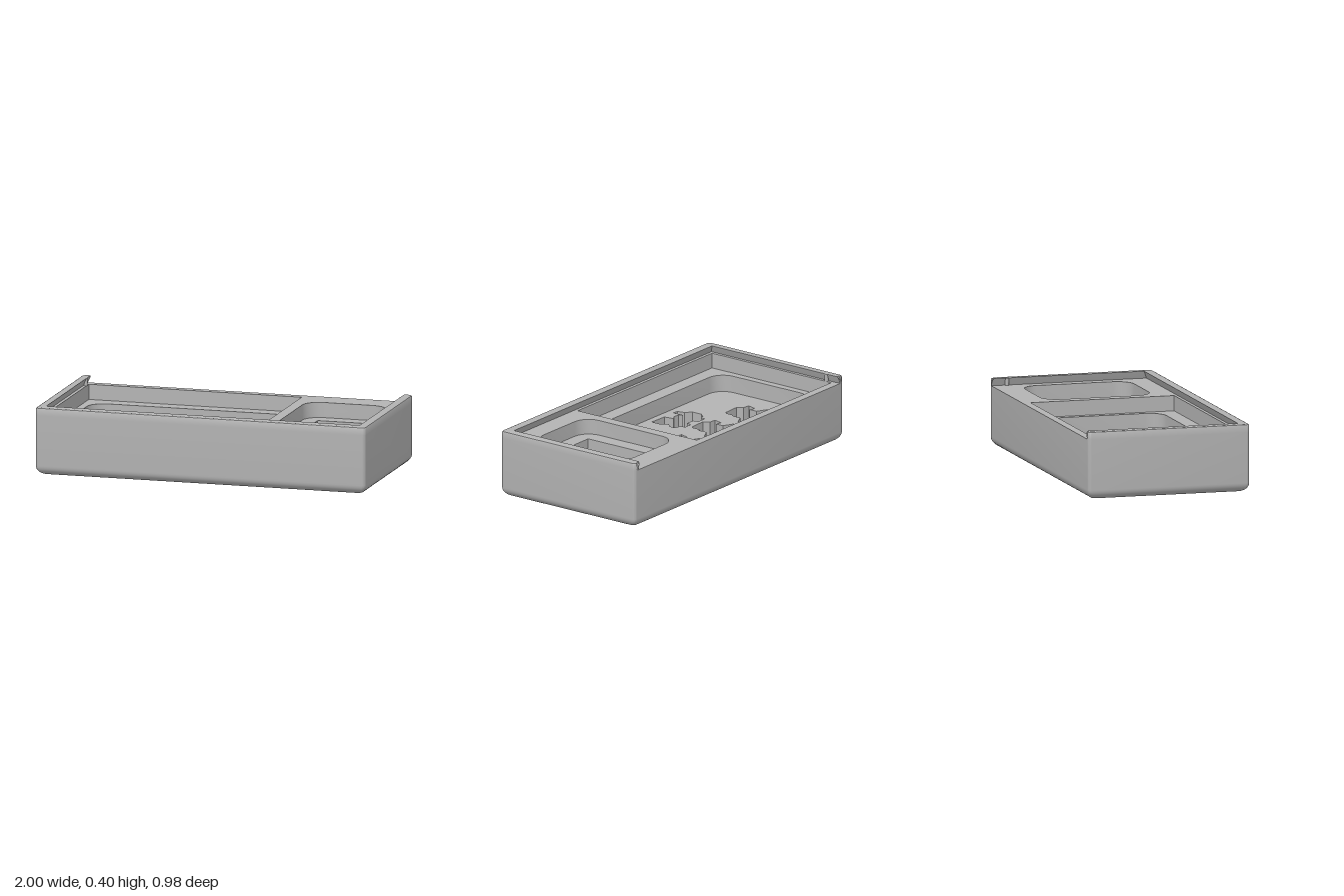
import * as THREE from 'three';
import { toCreasedNormals } from 'three/addons/utils/BufferGeometryUtils.js';

const grey = new THREE.MeshStandardMaterial({ color: 0xb3b3b3 });
grey.name = 'grey';

// Heights of the stepped floors
const TOP = 0.4, SLOT = 0.355, STEP = 0.265, LOW = 0.165, DEEP = 0.06;
const BEVEL = 0.055, CORNER = 0.02;

// Outlines are lists of [x, v] with v = -z, counter-clockwise from above.
// This one starts at the back left corner and ends at the back right.
function roundRect(x0, x1, v0, v1, r, n = 6) {
  const centres = [[x0 + r, v1 - r], [x0 + r, v0 + r], [x1 - r, v0 + r], [x1 - r, v1 - r]];
  const pts = [];
  centres.forEach(([cx, cv], i) => {
    for (let k = 0; k <= n; k++) {
      const a = ((i + 1 + k / n) * Math.PI) / 2;
      pts.push([cx + r * Math.cos(a), cv + r * Math.sin(a)]);
    }
  });
  return pts;
}
const rect = (x0, x1, v0, v1) => [[x0, v1], [x0, v0], [x1, v0], [x1, v1]];

// Skin through rings {pts, y}; open lofts get their two ends capped
function loft(rings, closed = true) {
  const n = rings[0].pts.length, pos = [], idx = [];
  rings.forEach(({ pts, y }) => pts.forEach(([x, v]) => pos.push(x, y, -v)));
  for (let i = 0; i < rings.length - 1; i++) {
    for (let j = 0; j < (closed ? n : n - 1); j++) {
      const a = i * n + j, b = i * n + ((j + 1) % n);
      idx.push(a, b, a + n, b, b + n, a + n);
    }
  }
  if (!closed) {
    for (let k = 1; k < rings.length - 1; k++) {
      idx.push(0, k * n, (k + 1) * n);
      idx.push(n - 1, (k + 2) * n - 1, (k + 1) * n - 1);
    }
  }
  const g = new THREE.BufferGeometry();
  g.setAttribute('position', new THREE.Float32BufferAttribute(pos, 3));
  g.setIndex(idx);
  return toCreasedNormals(g, 0.6);
}

// Flat upward face with holes
function plate(outline, y, holes = []) {
  const vec = (pts) => pts.map(([x, v]) => new THREE.Vector2(x, v));
  const shape = new THREE.Shape(vec(outline));
  holes.forEach((h) => shape.holes.push(new THREE.Path(vec(h))));
  return new THREE.ShapeGeometry(shape).rotateX(-Math.PI / 2).translate(0, y, 0);
}

// Turn clockwise [x, z] points into an outline
const cutout = (pts, dx) => pts.map(([x, z]) => [x + dx, -z]).reverse();

const FIGURE = [
  [-0.145, -0.33], [-0.03, -0.33], [0, -0.275], [0.06, -0.33], [0.14, -0.33], [0.145, -0.3],
  [0.08, -0.195], [0.14, -0.175], [0.14, -0.1], [0.07, -0.065], [0.07, -0.01], [0.055, 0],
  [0.055, 0.045], [0.045, 0.06], [-0.065, 0.065], [-0.085, 0.03], [-0.13, 0.025], [-0.115, -0.03],
  [-0.08, -0.02], [-0.08, -0.07], [-0.14, -0.1], [-0.14, -0.185], [-0.09, -0.205], [-0.145, -0.31],
];
const CREATURE = [
  [-0.435, 0.12], [-0.43, 0.09], [-0.37, 0.09], [-0.365, 0.12], [-0.31, 0.125], [-0.3, 0.09],
  [-0.245, 0.09], [-0.24, 0.12], [-0.2, 0.13], [-0.2, 0.17], [-0.235, 0.2], [-0.2, 0.24],
  [-0.2, 0.3], [-0.315, 0.295], [-0.325, 0.235], [-0.355, 0.255], [-0.39, 0.25], [-0.41, 0.23],
  [-0.405, 0.3], [-0.44, 0.295], [-0.45, 0.25], [-0.485, 0.22], [-0.485, 0.155], [-0.46, 0.125],
];

export function createModel() {
  const model = new THREE.Group();
  const add = (name, geometry) => {
    const mesh = new THREE.Mesh(geometry, grey);
    mesh.name = name;
    model.add(mesh);
    return mesh;
  };
  const outer = (d) => roundRect(-1 + d, 1 - d, -0.49 + d, 0.49 - d, CORNER);

  // Outer walls with rounded lower edges, and the underside
  const wall = [];
  for (let k = 0; k <= 8; k++) {
    const t = ((1 - k / 8) * Math.PI) / 2;
    wall.push({ pts: outer(BEVEL * (1 - Math.cos(t))), y: BEVEL * (1 - Math.sin(t)) });
  }
  wall.push({ pts: outer(0), y: SLOT });
  add('outerWalls', loft(wall));
  add('underside', plate(outer(BEVEL), 0).rotateX(Math.PI));

  // Three-sided rim with an undercut groove for a sliding lid, open at the back
  const inner = (x, v0, v1) => roundRect(-x, x, v0, v1, 0);
  add('lidRim', loft([
    { pts: outer(0), y: SLOT },
    { pts: outer(0), y: TOP - 0.01 },
    { pts: outer(0.003), y: TOP - 0.003 },
    { pts: outer(0.01), y: TOP },
    { pts: inner(0.95, -0.43, 0.48), y: TOP },
    { pts: inner(0.954, -0.434, 0.49), y: TOP - 0.01 },
    { pts: inner(0.97, -0.45, 0.49), y: SLOT },
  ], false));

  // Lid detents near the back of the groove
  for (const side of [-1, 1]) {
    add('lidDetent', new THREE.CylinderGeometry(0.011, 0.011, TOP - SLOT, 12))
      .position.set(side * 0.956, (TOP + SLOT) / 2, -0.4);
  }

  // Pocket outlines
  const tray = rect(-0.95, 0.34, -0.43, 0.44);
  const trayWell = roundRect(-0.905, 0.3, -0.34, 0.35, 0.1);
  const sidePocket = roundRect(0.405, 0.905, -0.325, 0.335, 0.1);
  const sideWell = rect(0.495, 0.81, -0.235, 0.245);
  const pieces = [-0.64, -0.317, 0.006].map((x) => cutout(FIGURE, x));
  pieces.push(cutout(CREATURE, 0));

  // Walls of a pocket plus its floor, which may hold deeper pockets
  const pocket = (name, outline, top, bottom, holes) => {
    add(name + 'Walls', loft([{ pts: outline, y: top }, { pts: outline, y: bottom }]));
    add(name + 'Floor', plate(outline, bottom, holes));
  };

  add('slotFloor', plate(rect(-0.97, 0.97, -0.45, 0.49), SLOT, [tray, sidePocket]));
  pocket('tray', tray, SLOT, STEP, [trayWell]);
  pocket('trayWell', trayWell, STEP, LOW, pieces);
  pieces.forEach((p) => pocket('pieceCutout', p, LOW, DEEP));
  pocket('sidePocket', sidePocket, SLOT, STEP, [sideWell]);
  pocket('sideWell', sideWell, STEP, LOW);

  return model;
}
